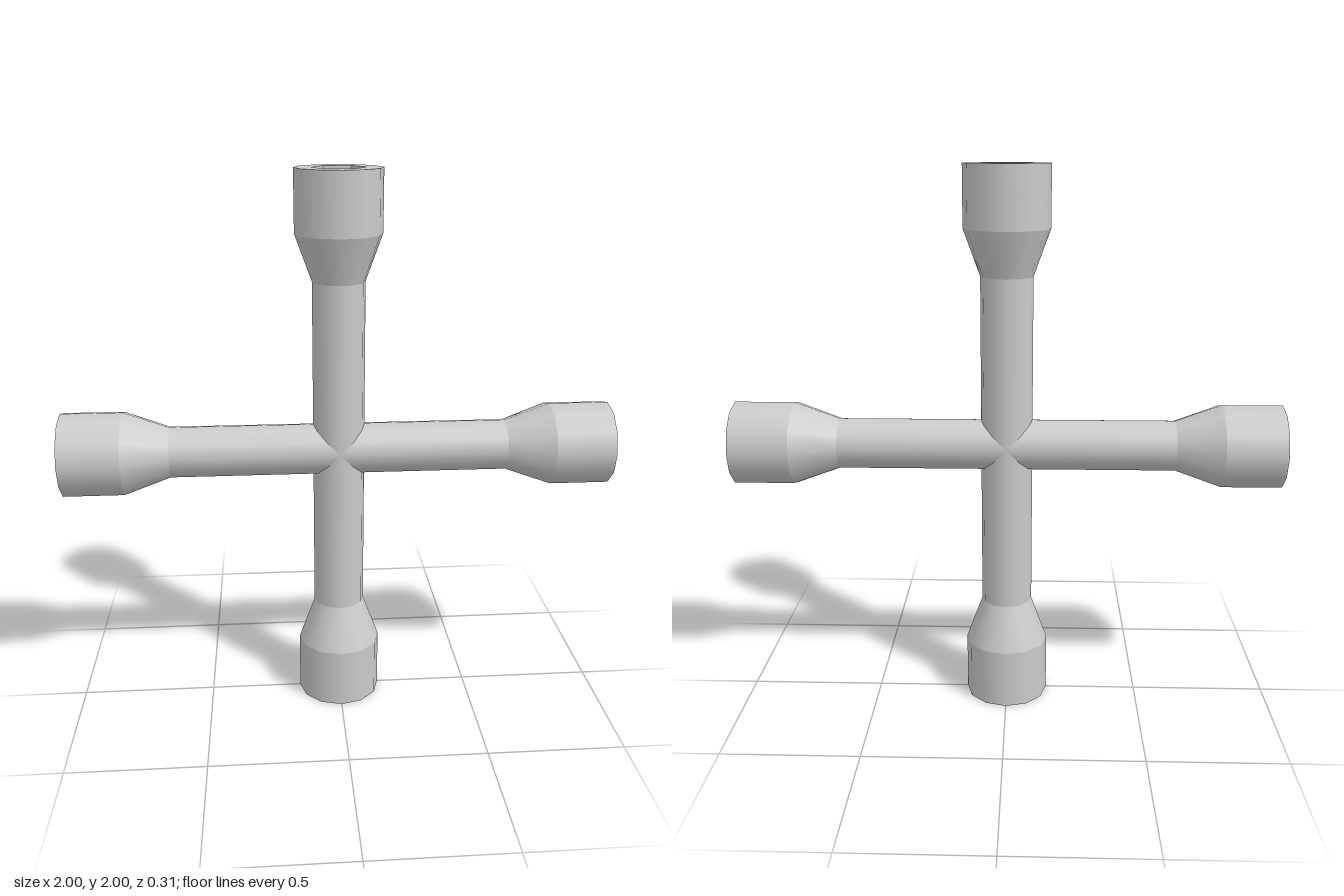
import * as THREE from 'three';
import { mergeGeometries } from 'three/addons/utils/BufferGeometryUtils.js';

const SIDES = 12;
const SHAFT_R = 0.094, SOCKET_R = 0.154;
const CONE_START = 0.615, SOCKET_START = 0.78, END = 1;
const HEX_R = 0.096, HEX_FLOOR_R = 0.087, HEX_DEPTH = 0.2;

const material = new THREE.MeshStandardMaterial({ color: 0xcccccc });

// open tube section along y, from y0 (radius r0) to y1 (radius r1)
function section(r0, r1, y0, y1, sides = SIDES) {
  return new THREE.CylinderGeometry(r1, r0, y1 - y0, sides, 1, true).translate(0, (y0 + y1) / 2, 0);
}

function polygon(radius, sides) {
  return Array.from({ length: sides }, (_, i) => {
    const a = (i / sides) * Math.PI * 2;
    return new THREE.Vector2(Math.cos(a) * radius, Math.sin(a) * radius);
  });
}

function part(name, geometry) {
  const mesh = new THREE.Mesh(geometry, material);
  mesh.name = name;
  return mesh;
}

// one arm pointing up from the crossing
function createArm(name) {
  const arm = new THREE.Group();
  arm.name = name;

  arm.add(part('shaft', section(SHAFT_R, SHAFT_R, 0, CONE_START)));

  // flared neck and socket barrel
  arm.add(part('socket', mergeGeometries([
    section(SHAFT_R, SOCKET_R, CONE_START, SOCKET_START),
    section(SOCKET_R, SOCKET_R, SOCKET_START, END),
  ])));

  // flat rim with hexagonal opening
  const rim = new THREE.Shape(polygon(SOCKET_R, SIDES));
  rim.holes.push(new THREE.Path(polygon(HEX_R, 6)));
  arm.add(part('socketRim', new THREE.ShapeGeometry(rim).rotateX(-Math.PI / 2).translate(0, END, 0)));

  // slightly tapered hex recess, mirrored so its walls face inward
  const walls = section(HEX_FLOOR_R, HEX_R, END - HEX_DEPTH, END, 6)
    .rotateY(Math.PI / 2).scale(-1, 1, 1).toNonIndexed();
  walls.computeVertexNormals();
  arm.add(part('hexRecess', walls));
  arm.add(part('hexFloor', new THREE.CircleGeometry(HEX_FLOOR_R, 6)
    .rotateX(-Math.PI / 2).translate(0, END - HEX_DEPTH, 0)));
  return arm;
}

export function createModel() {
  const wrench = new THREE.Group();
  wrench.name = 'crossWrench';
  ['topArm', 'rightArm', 'bottomArm', 'leftArm'].forEach((name, i) => {
    const arm = createArm(name);
    arm.position.y = 1;
    arm.rotation.z = i * Math.PI / 2;
    wrench.add(arm);
  });
  return wrench;
}
